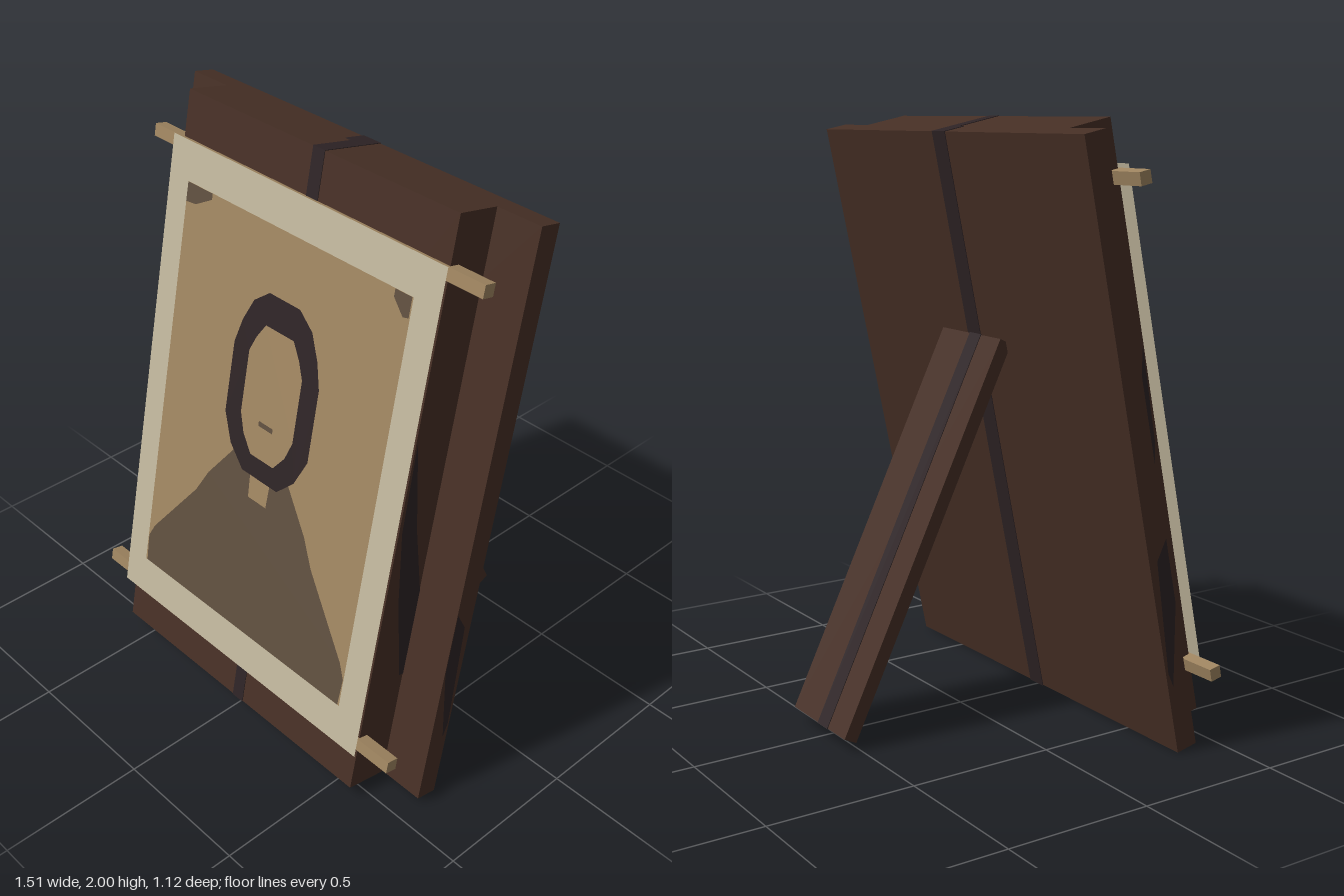
import * as THREE from 'three';

const mat = (name, color) => Object.assign(
  new THREE.MeshStandardMaterial({ color, side: THREE.DoubleSide }), { name });

export function createModel() {
  const wood = mat('brown wood', 0x462f25);
  const dark = mat('dark grain', 0x2d2325);
  const paper = mat('cream paper', 0xc0b69c);
  const tan = mat('tan', 0x9f8560);
  const grey = mat('grey brown', 0x5e4e3e);

  const model = new THREE.Group();
  const tilt = THREE.MathUtils.degToRad(12);
  const add = (parent, name, geometry, material) => {
    const mesh = new THREE.Mesh(geometry, material);
    mesh.name = name;
    parent.add(mesh);
    return mesh;
  };
  // box given by its ranges
  const box = (parent, name, m, [x0, x1], [y0, y1], [z0, z1]) => {
    const mesh = add(parent, name, new THREE.BoxGeometry(x1 - x0, y1 - y0, z1 - z0), m);
    mesh.position.set((x0 + x1) / 2, (y0 + y1) / 2, (z0 + z1) / 2);
    return mesh;
  };
  const vectors = (pts) => pts.map(([x, y]) => new THREE.Vector2(x, y));

  // leaning board: origin on its lower front edge
  const board = new THREE.Group();
  board.name = 'board';
  board.position.set(0, 0.05, 0.56);
  board.rotation.x = -tilt;
  model.add(board);

  const H = 1.994, seam = -0.153, back = -0.23, e = 0.002;
  box(board, 'frontBlock', wood, [-0.59, 0.59], [0, H], [seam, 0]);
  box(board, 'backPlate', wood, [-0.755, 0.755], [0, H], [back, seam]);
  box(board, 'blockGrain', dark, [-0.006, 0.045], [-e, H + e], [seam, e]);
  box(board, 'plateGrain', dark, [-0.03, 0.045], [-e, H + e], [back - e, seam - e]);

  // knots in the wood on both sides, as [depth, height]
  const blockKnot = [[0.005, 1.28], [0.012, 0.97], [0.06, 0.7], [0.135, 0.4], [0.153, 0.4], [0.153, 0.72], [0.08, 0.96]];
  const plateKnot = [[0.153, 0.72], [0.2, 0.66], [0.222, 0.28], [0.21, 0.23], [0.153, 0.5]];
  for (const side of [-1, 1]) {
    for (const [name, pts, x] of [['blockKnot', blockKnot, 0.592], ['plateKnot', plateKnot, 0.757]]) {
      const knot = add(board, name, new THREE.ShapeGeometry(new THREE.Shape(vectors(pts))), dark);
      knot.rotation.y = Math.PI / 2;
      knot.position.x = side * x;
    }
  }

  // crossbars that carry the sheet
  for (const [name, y] of [['upperBar', 1.817], ['lowerBar', 0.182]]) {
    box(board, name, tan, [-0.73, 0.73], [y - 0.021, y + 0.021], [-0.033, 0.009]);
  }

  // sheet with the painted portrait, heights measured upright and laid along the slope
  const sheet = new THREE.Group();
  sheet.name = 'sheet';
  board.add(sheet);
  const slope = ([x, y]) => [x, (y - 0.056) / Math.cos(tilt)];
  const flat = (name, m, layer, pts, hole) => {
    const shape = new THREE.Shape(vectors(pts.map(slope)));
    if (hole) shape.holes.push(new THREE.Path(vectors(hole.map(slope))));
    add(sheet, name, new THREE.ShapeGeometry(shape), m).position.z = 0.03 + layer * 0.002;
  };
  const rect = (x0, x1, y0, y1) => [[x0, y0], [x1, y0], [x1, y1], [x0, y1]];
  // closed outline mirrored from its right half, listed bottom to top
  const mirror = (half) => [...half, ...half.map(([x, y]) => [-x, y]).reverse()];

  flat('paper', paper, 0, rect(-0.607, 0.607, 0.205, 1.862));
  flat('background', tan, 1, rect(-0.51, 0.506, 0.34, 1.735));
  flat('leftCornerMark', grey, 2, [[-0.508, 1.67], [-0.46, 1.675], [-0.385, 1.715], [-0.385, 1.735], [-0.508, 1.735]]);
  flat('rightCornerMark', grey, 2, [[0.48, 1.665], [0.503, 1.67], [0.503, 1.735], [0.435, 1.735], [0.435, 1.71]]);
  flat('robe', grey, 2, mirror([[0.5, 0.342], [0.505, 0.44], [0.48, 0.49], [0.29, 0.73], [0.24, 0.82], [0.13, 0.96]]));
  flat('neck', tan, 3, [[-0.035, 0.83], [0.052, 0.83], [0.056, 0.92], [-0.04, 0.92]]);
  const hairEdge = mirror([[0.085, 0.91], [0.155, 0.975], [0.2, 1.07], [0.2, 1.315], [0.175, 1.4], [0.135, 1.48], [0.07, 1.528]])
    .map(([x, y]) => [x + 0.007, y]);
  const faceEdge = mirror([[0.055, 0.98], [0.1, 1.035], [0.125, 1.1], [0.125, 1.315], [0.1, 1.37], [0.065, 1.422]])
    .map(([x, y]) => [x + 0.005, y]);
  flat('hair', dark, 4, hairEdge, faceEdge);
  flat('face', tan, 4, faceEdge);
  flat('mouth', grey, 5, rect(-0.03, 0.037, 1.09, 1.107));

  // rear prop leg
  const leg = new THREE.Group();
  leg.name = 'propLeg';
  leg.position.set(0, 0.659, -0.236);
  leg.rotation.x = THREE.MathUtils.degToRad(25.7);
  model.add(leg);
  box(leg, 'legBoard', wood, [-0.172, 0.17], [-0.69, 0.69], [-0.0235, 0.0235]);
  box(leg, 'legGrain', dark, [-0.06, 0.005], [-0.692, 0.692], [-0.0255, 0.0255]);

  return model;
}
